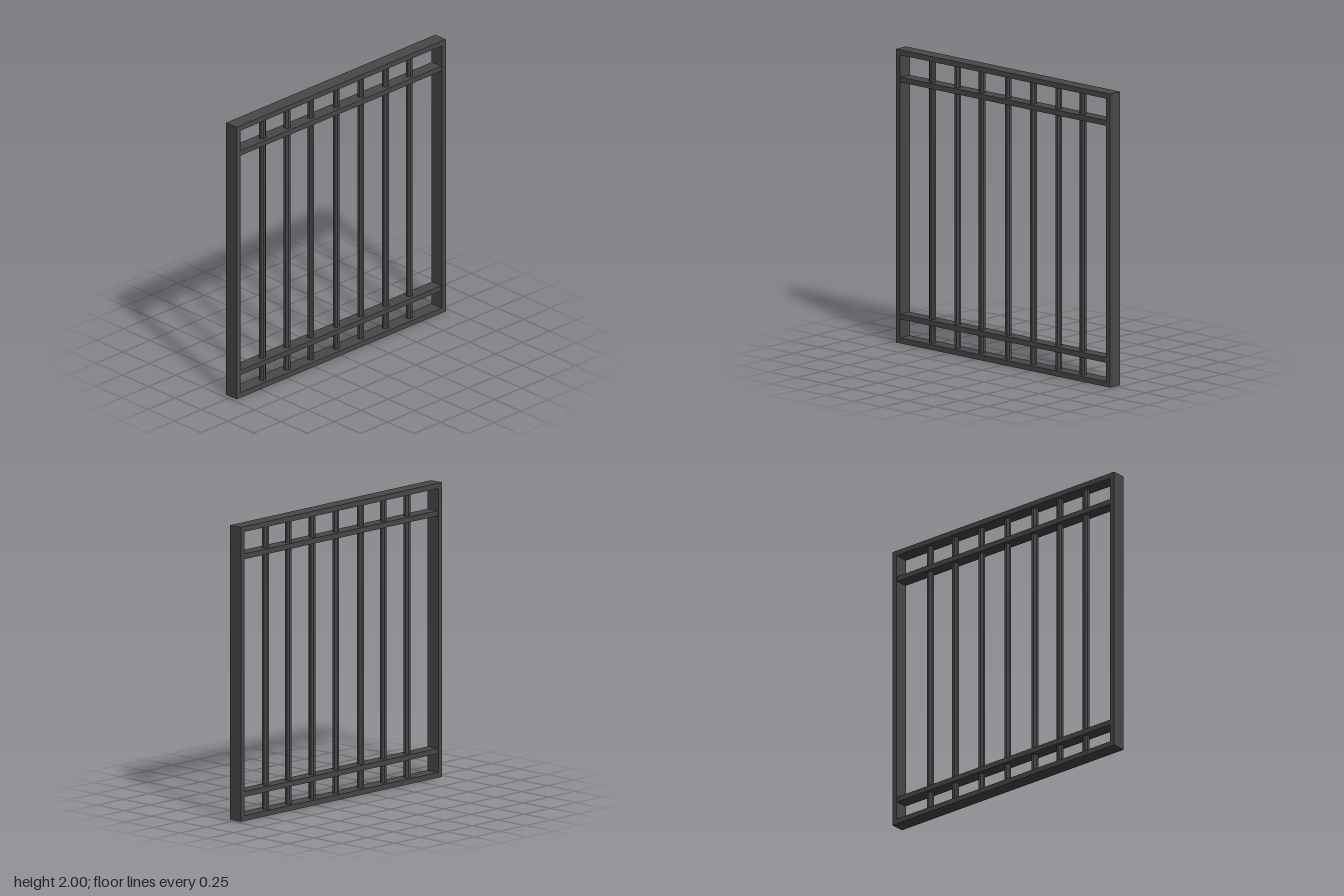
import * as THREE from 'three';

const W = 1.94, H = 2, D = 0.1, T = 0.036;

// Counter-clockwise rectangle outline
function rectangle(target, x, y0, y1) {
  target.moveTo(-x, y0);
  target.lineTo(x, y0);
  target.lineTo(x, y1);
  target.lineTo(-x, y1);
  target.closePath();
  return target;
}

export function createModel() {
  const group = new THREE.Group();
  group.name = 'barredWindowGrille';
  const iron = new THREE.MeshStandardMaterial({ color: 0x484848 });
  iron.name = 'dark iron';

  const add = (name, geometry, x, y, z) => {
    const mesh = new THREE.Mesh(geometry, iron);
    mesh.name = name;
    mesh.position.set(x, y, z);
    group.add(mesh);
  };

  // Outer frame: a rectangle with one large opening
  const outline = rectangle(new THREE.Shape(), W / 2, 0, H);
  outline.holes.push(rectangle(new THREE.Path(), W / 2 - T, T, H - T));
  add('outerFrame', new THREE.ExtrudeGeometry(outline, { depth: D, bevelEnabled: false }), 0, 0, -D / 2);

  // Two horizontal rails between the side posts
  const rail = new THREE.BoxGeometry(W - 2 * T, T, 0.09);
  add('lowerRail', rail, 0, 0.18, 0);
  add('upperRail', rail, 0, 1.795, 0);

  // Vertical eight-sided bars, turned so a flat side faces front
  const bar = new THREE.CylinderGeometry(0.024, 0.024, H - 2 * T, 8)
    .rotateY(Math.PI / 8)
    .toNonIndexed();
  bar.computeVertexNormals();
  [-0.683, -0.455, -0.235, 0.002, 0.23, 0.46, 0.68].forEach((x, i) => {
    add(`verticalBar${i + 1}`, bar, x, H / 2, 0);
  });

  return group;
}
